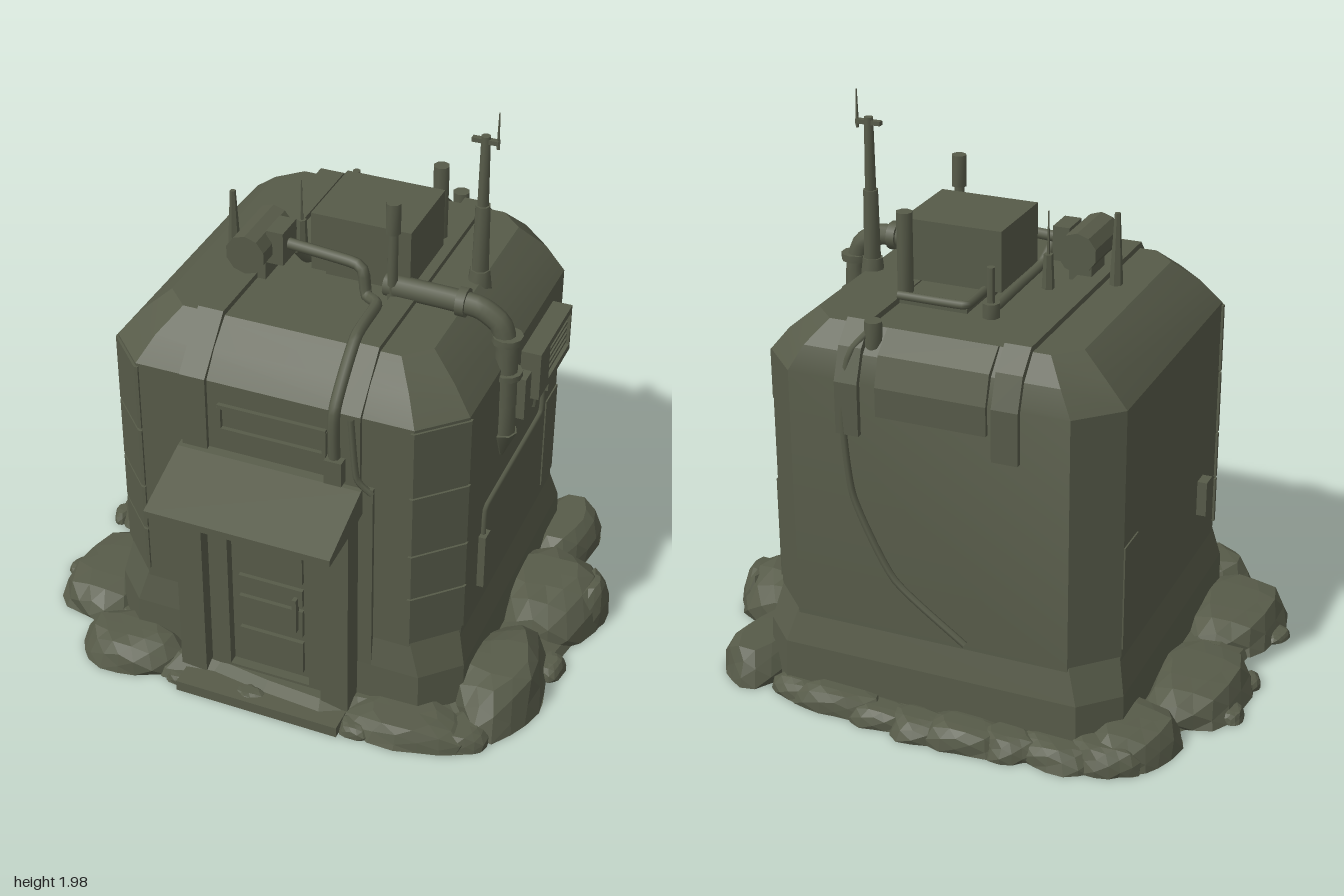
import * as THREE from 'three';
import { toCreasedNormals } from 'three/addons/utils/BufferGeometryUtils.js';

const olive = new THREE.MeshStandardMaterial({ color: 0x575b49 });
const Z0 = -0.68, Z1 = 0.55, HX = 0.62, C = 0.135;
const V = (p) => new THREE.Vector3(...p);

export function createModel() {
  const root = new THREE.Group();
  const add = (name, geo, x = 0, y = 0, z = 0) => {
    const m = new THREE.Mesh(geo, olive);
    m.name = name;
    m.position.set(x, y, z);
    root.add(m);
    return m;
  };
  // box given by its min and max on each axis
  const box = (name, x0, x1, y0, y1, z0, z1) =>
    add(name, new THREE.BoxGeometry(x1 - x0, y1 - y0, z1 - z0), (x0 + x1) / 2, (y0 + y1) / 2, (z0 + z1) / 2);
  const pole = (name, x, z, y0, y1, rBottom, rTop = rBottom, n = 8) =>
    add(name, toCreasedNormals(new THREE.CylinderGeometry(rTop, rBottom, y1 - y0, n), 0.9), x, (y0 + y1) / 2, z);
  const pipe = (name, pts, r, n = 8) =>
    add(name, new THREE.TubeGeometry(new THREE.CatmullRomCurve3(pts.map(V), false, 'catmullrom', 0.3), pts.length * 6, r, n));
  // outline extruded along x
  const side = (name, zy, x0, x1) => {
    const s = new THREE.Shape(zy.map(([z, y]) => new THREE.Vector2(-z, y)));
    const g = new THREE.ExtrudeGeometry(s, { depth: x1 - x0, bevelEnabled: false });
    return add(name, g.rotateY(Math.PI / 2), x0, 0, 0);
  };

  // rectangle in plan with corners cut by c
  const ring = (hx, z0, z1, c, y) => [[hx, z1 - c], [hx - c, z1], [c - hx, z1], [-hx, z1 - c],
    [-hx, z0 + c], [c - hx, z0], [hx - c, z0], [hx, z0 + c]].map(([x, z]) => [x, y, z]);
  // faceted skin over stacked rings, closed at both ends
  const loft = (rings) => {
    const pos = [], n = rings[0].length, tri = (...p) => p.forEach((q) => pos.push(...q));
    const centre = (r) => [0, 1, 2].map((k) => r.reduce((s, p) => s + p[k], 0) / n);
    const top = rings[rings.length - 1], cb = centre(rings[0]), ct = centre(top);
    for (let i = 0; i < n; i++) {
      const k = (i + 1) % n;
      for (let j = 0; j + 1 < rings.length; j++) {
        const a = rings[j][i], b = rings[j][k], c = rings[j + 1][k], d = rings[j + 1][i];
        tri(a, d, c, a, c, b);
      }
      tri(cb, rings[0][i], rings[0][k], ct, top[k], top[i]);
    }
    const g = new THREE.BufferGeometry();
    g.setAttribute('position', new THREE.Float32BufferAttribute(pos, 3));
    g.computeVertexNormals();
    return g;
  };

  // main shell and skirt
  add('shell', toCreasedNormals(loft([ring(HX, Z0, Z1, C, 0.2), ring(HX, Z0, Z1, C, 1.2),
    ring(0.55, -0.65, 0.485, 0.11, 1.285), ring(0.46, -0.58, 0.4, 0.08, 1.36)]), 0.4));
  add('skirt', loft([ring(0.65, -0.71, 0.57, 0.12, 0), ring(0.645, -0.705, 0.565, 0.12, 0.2),
    ring(0.61, -0.67, 0.545, 0.13, 0.35)]));

  // stacked armour bands around the two front corners
  const t = 0.008;
  const corner = new THREE.Shape([[C - 0.03, -0.01], [C + t, -0.01], [C + t, 0.003], [0.003, C + t], [-0.01, C + t],
    [-0.01, C - 0.03]].map(([x, y]) => new THREE.Vector2(x, y)));
  [[0.35, 0.52], [0.53, 0.7], [0.71, 0.935], [0.945, 1.19]].forEach(([y0, y1]) => {
    const g = new THREE.ExtrudeGeometry(corner, { depth: y1 - y0, bevelEnabled: false }).rotateX(-Math.PI / 2);
    for (const s of [-1, 1]) add('cornerBand', g, s * (HX - C), y0, Z1 - C).rotation.y = Math.PI * (1.25 + s * 0.25);
  });
  // plates by the rear corners
  for (const s of [-1, 1]) box('rearSidePlate', s * 0.62 - 0.005, s * 0.62 + 0.005, 0.35, 0.72, -0.545, -0.42);

  // straps running over the roof
  const strap = [[0.54, 0.93], [0.565, 0.93], [0.565, 1.21], [0.41, 1.38], [-0.59, 1.38], [-0.66, 1.31], [-0.70, 1.2],
    [-0.70, 1.02], [-0.67, 1.02], [-0.67, 1.18], [-0.57, 1.34], [0.39, 1.34], [0.54, 1.18]];
  side('strapRight', strap, -0.32, -0.23);
  side('strapLeft', strap, 0.23, 0.31);
  side('rearHatch', [[-0.59, 1.365], [-0.665, 1.3], [-0.695, 1.2], [-0.695, 1.1], [-0.66, 1.1], [-0.56, 1.35]], -0.21, 0.17);

  // view slot made of four bars
  box('slotTop', -0.19, 0.19, 1.11, 1.125, 0.53, 0.565);
  box('slotSill', -0.19, 0.19, 1.02, 1.035, 0.53, 0.565);
  for (const s of [-1, 1]) box('slotEnd', s * 0.185 - 0.007, s * 0.185 + 0.007, 1.03, 1.115, 0.53, 0.565);

  // porch and canopy
  box('porchPostRight', -0.32, -0.225, 0, 0.86, 0.5, 0.65);
  box('porchPostLeft', 0.205, 0.305, 0, 0.86, 0.5, 0.65);
  box('porchFlank', 0.3, 0.355, 0.04, 0.94, 0.5, 0.565);
  box('porchLintel', -0.225, 0.205, 0.74, 0.86, 0.5, 0.64);
  side('canopy', [[0.55, 0.94], [0.58, 0.935], [0.835, 0.845], [0.835, 0.82], [0.65, 0.825], [0.55, 0.84]], -0.33, 0.32);
  box('doorStep', -0.3, 0.3, 0, 0.04, 0.5, 0.74);

  // door frame with clipped corners, and the door
  const clipped = (x0, x1, y0, y1, c) => [[x0, y0], [x1, y0], [x1, y1 - c], [x1 - c, y1], [x0 + c, y1], [x0, y1 - c]]
    .map(([x, y]) => new THREE.Vector2(x, y));
  const frame = new THREE.Shape(clipped(-0.22, 0.2, 0.03, 0.735, 0.07));
  frame.holes.push(new THREE.Path(clipped(-0.15, 0.145, 0.07, 0.675, 0.04)));
  add('doorFrame', new THREE.ExtrudeGeometry(frame, { depth: 0.08, bevelEnabled: false }), 0, 0, 0.53);
  box('door', -0.155, 0.15, 0.06, 0.68, 0.53, 0.575);
  [[0.49, 0.64], [0.39, 0.46], [0.26, 0.37], [0.1, 0.23]].forEach(([a, b]) =>
    box('doorPanel', -0.12, 0.115, a, b, 0.57, 0.59));
  box('doorHandle', 0.085, 0.1, 0.29, 0.43, 0.585, 0.61);

  // roof machinery
  box('roofUnit', -0.07, 0.28, 1.39, 1.6, -0.24, 0.07);
  box('roofUnitFoot', -0.03, 0.24, 1.35, 1.4, -0.2, 0.04);
  box('roofPlate', -0.01, 0.23, 1.35, 1.375, -0.38, -0.2);
  pipe('roofDuct', [[0.23, 1.39, -0.385], [0.01, 1.39, -0.385], [-0.01, 1.39, -0.365], [-0.01, 1.39, -0.2]], 0.015);
  add('lampDrum', toCreasedNormals(new THREE.CylinderGeometry(0.07, 0.07, 0.23, 10).rotateX(Math.PI / 2), 0.5), -0.245, 1.475, 0.095);
  box('lampBracket', -0.2, -0.14, 1.42, 1.54, 0.03, 0.14);
  box('lampFoot', -0.28, -0.2, 1.35, 1.43, 0.03, 0.15);
  pipe('roofPipe', [[-0.14, 1.48, 0.09], [0.1, 1.48, 0.12], [0.14, 1.46, 0.13], [0.155, 1.38, 0.14], [0.21, 1.385, 0.19],
    [0.225, 1.39, 0.4], [0.225, 1.22, 0.57], [0.225, 1.0, 0.57]], 0.02);
  box('pipeBox', 0.2, 0.26, 0.95, 1.04, 0.55, 0.6);
  pipe('roofHose', [[-0.09, 1.38, -0.36], [-0.085, 1.38, -0.1], [-0.1, 1.4, 0.03], [-0.12, 1.46, 0.08]], 0.017);
  pole('stackLeft', 0.23, 0.1, 1.36, 1.61, 0.018);
  pole('stackCap', 0.23, 0.1, 1.61, 1.72, 0.026);
  pole('stackRear', 0.24, -0.31, 1.36, 1.65, 0.028);
  pole('stackRight', -0.09, -0.37, 1.36, 1.53, 0.014);
  pole('stackFoot', -0.09, -0.37, 1.36, 1.41, 0.03);
  pole('rearValve', 0.21, -0.61, 1.3, 1.39, 0.03);
  pole('spikeOuter', -0.36, 0.05, 1.35, 1.61, 0.024, 0.01, 6);
  pole('spikeInner', -0.165, -0.07, 1.35, 1.48, 0.022, 0.016, 6);
  pole('spikeInnerTip', -0.165, -0.07, 1.48, 1.63, 0.006, 0.002, 5);

  // mast
  pole('mastFoot', 0.45, -0.13, 1.32, 1.4, 0.045, 0.035);
  pole('mastLower', 0.45, -0.13, 1.38, 1.64, 0.03, 0.026);
  pole('mastUpper', 0.45, -0.13, 1.62, 1.89, 0.02, 0.016);
  box('mastCrossbar', 0.405, 0.495, 1.865, 1.88, -0.14, -0.12);
  pole('mastNeedle', 0.492, -0.13, 1.85, 1.98, 0.006, 0.002, 5);

  // exhaust bending over the left edge
  pipe('exhaust', [[0.2, 1.4, 0.08], [0.42, 1.4, 0.085], [0.53, 1.395, 0.09], [0.6, 1.35, 0.09],
    [0.625, 1.26, 0.09], [0.63, 1.05, 0.09]], 0.038, 10);
  pole('exhaustCollar', 0.626, 0.09, 1.29, 1.315, 0.052, 0.052, 10);
  pole('exhaustCollar', 0.63, 0.09, 1.16, 1.18, 0.052, 0.052, 10);
  pole('exhaustTip', 0.63, 0.09, 0.93, 1.16, 0.038, 0.034, 8);
  pole('exhaustPoint', 0.625, 0.09, 0.84, 0.94, 0.006, 0.05, 8);
  add('roofCollar', new THREE.CylinderGeometry(0.05, 0.05, 0.03, 10).rotateZ(Math.PI / 2), 0.47, 1.4, 0.087);

  // vent with louvres on the left wall
  box('ventBack', 0.6, 0.655, 0.96, 1.14, -0.43, -0.09);
  for (const [y0, y1, a, b] of [[1.115, 1.14, -0.43, -0.09], [0.96, 0.985, -0.43, -0.09],
    [0.985, 1.115, -0.43, -0.42], [0.985, 1.115, -0.19, -0.09]]) box('ventRim', 0.65, 0.69, y0, y1, a, b);
  for (let i = 0; i < 5; i++) box('louvre', 0.65, 0.68, 0.993 + i * 0.025, 1.003 + i * 0.025, -0.42, -0.19);
  box('meterBox', 0.6, 0.66, 0.91, 1.07, -0.13, -0.03);
  pole('ventDrain', 0.635, -0.22, 0.84, 0.96, 0.012, 0.028);
  box('pipeJoint', 0.61, 0.655, 0.84, 0.96, -0.385, -0.32);
  pipe('wallConduit', [[0.628, 0.86, -0.35], [0.628, 0.75, -0.345], [0.628, 0.73, -0.3], [0.628, 0.725, 0.2],
    [0.628, 0.71, 0.245], [0.628, 0.6, 0.25]], 0.009, 6);
  box('junctionBoxLeft', 0.6, 0.645, 0.41, 0.62, 0.225, 0.275);
  box('junctionBoxRight', -0.655, -0.6, 0.47, 0.6, 0.21, 0.27);

  // cable on the rear wall and by the porch
  pipe('rearCable', [[0.21, 1.37, -0.6], [0.27, 1.29, -0.665], [0.29, 1.1, -0.69], [0.26, 0.8, -0.69],
    [0.12, 0.52, -0.69], [-0.13, 0.33, -0.69]], 0.012, 6);
  pipe('porchCable', [[-0.33, 0.84, 0.555], [-0.36, 0.72, 0.555], [-0.35, 0.6, 0.555], [-0.32, 0.52, 0.555]], 0.008, 6);
  pipe('porchHose', [[0.28, 1.2, 0.57], [0.3, 0.98, 0.57], [0.35, 0.92, 0.56]], 0.011, 6);

  // ground plate and rocks
  let seed = 7;
  const rnd = () => (seed = (seed * 16807) % 2147483647) / 2147483647;
  const edge = (s, y) => Array.from({ length: 40 }, (_, i) => {
    const a = i / 40 * Math.PI * 2, w = s * (1 - 0.03 * (i % 3));
    const c = Math.cos(a), d = Math.sin(a), p = (v) => Math.sign(v) * Math.abs(v) ** 0.75;
    return [p(c) * 0.9 * w, y, p(d) * 0.77 * w - 0.04];
  });
  add('groundPlate', loft([edge(1, 0), edge(0.98, 0.03), edge(0.9, 0.06)]));
  const rock = (x, z, rx, h, rz) => {
    const g = new THREE.IcosahedronGeometry(1, 2), p = g.attributes.position, q = new THREE.Vector3();
    const s = rnd() * 20;
    for (let i = 0; i < p.count; i++) {
      q.fromBufferAttribute(p, i);
      const f = 1 + 0.07 * Math.sin(q.x * 4 + s) + 0.06 * Math.sin(q.z * 5 + s * 2) + 0.05 * Math.sin(q.y * 6 + q.x * 3 + s);
      p.setXYZ(i, q.x * f * rx, Math.max(0, Math.min(q.y * f * 1.25, 0.95 + 0.08 * q.x) * h), q.z * f * rz);
    }
    g.computeVertexNormals();
    add('rock', g, x, 0, z);
  };
  [[-0.66, -0.55, 0.16, 0.12, 0.19], [-0.77, -0.18, 0.17, 0.12, 0.25], [-0.75, 0.31, 0.17, 0.12, 0.25],
    [-0.53, 0.61, 0.18, 0.11, 0.14], [0.69, -0.56, 0.14, 0.13, 0.19], [0.76, -0.17, 0.18, 0.18, 0.25],
    [0.73, 0.31, 0.17, 0.17, 0.26], [0.5, 0.6, 0.24, 0.08, 0.12], [0.7, 0.57, 0.09, 0.06, 0.09],
    [-0.92, -0.27, 0.04, 0.04, 0.06], [-0.92, -0.06, 0.04, 0.04, 0.06], [-0.92, 0.29, 0.04, 0.03, 0.06],
    [0.9, -0.2, 0.06, 0.16, 0.13], [0.86, 0.14, 0.05, 0.05, 0.07]].forEach((r) => rock(...r));
  // irregular rubble along the rear and the front
  for (let i = 0; i < 8; i++) rock(-0.62 + i * 0.155, -0.68 - 0.07 * Math.sin((i + 0.5) / 8 * Math.PI),
    0.11 + rnd() * 0.06, 0.05 + rnd() * 0.06, 0.06 + rnd() * 0.03);
  for (let i = 0; i < 6; i++) rock(-0.3 + i * 0.13, 0.66 + rnd() * 0.04, 0.06, 0.03 + rnd() * 0.02, 0.05);
  return root;
}
